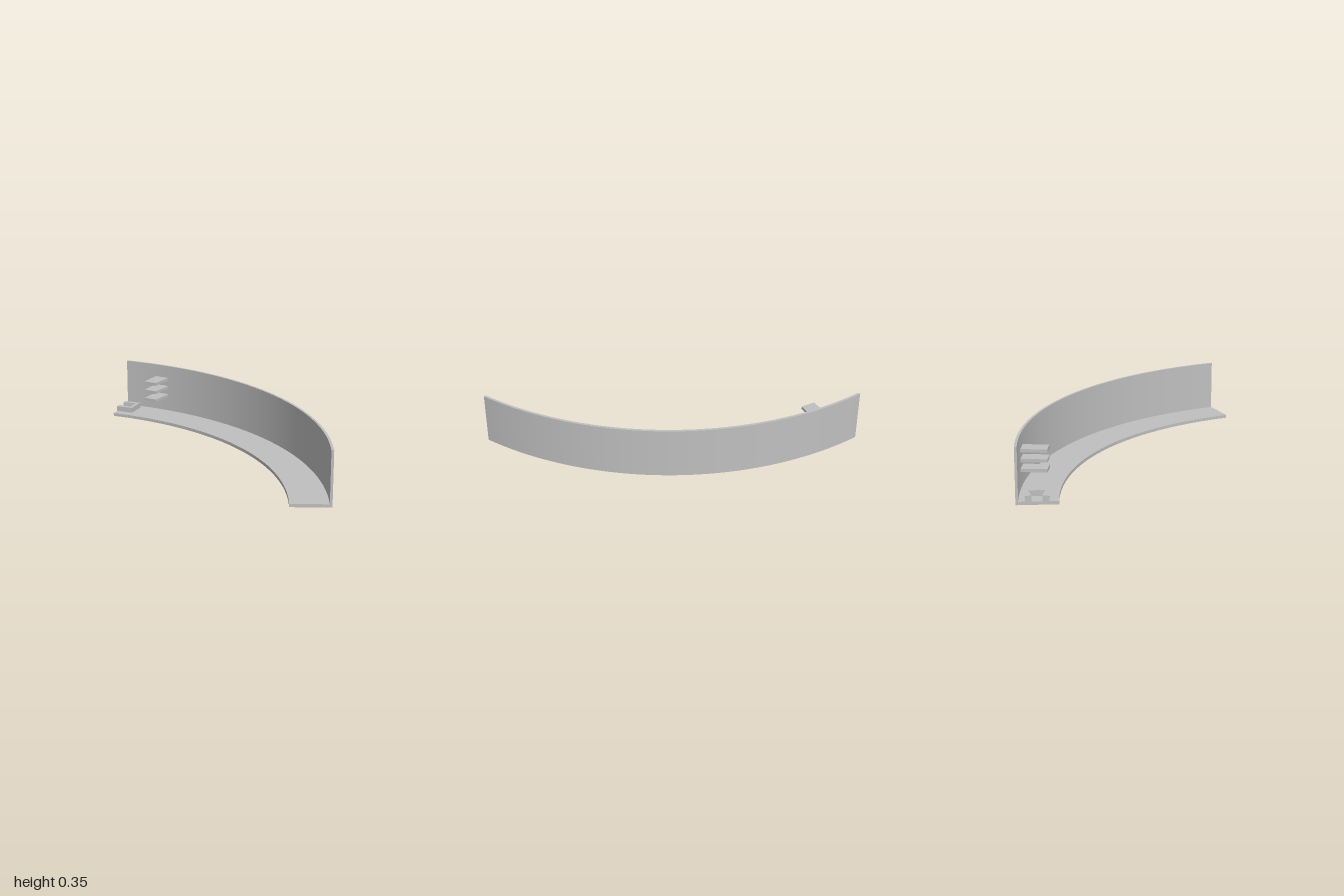
import * as THREE from 'three';
import { toCreasedNormals } from 'three/addons/utils/BufferGeometryUtils.js';

// Arc centre in plan, and the radii measured from it
const CX = -1, CZ = 1.383;
const R_IN = 1.873, R_WALL = 2.112, R_OUT = 2.128;
const FLOOR = 0.021, HEIGHT = 0.355;
const rad = THREE.MathUtils.degToRad;

// Extrude a plan shape (drawn in x, -z) upwards between two heights
function slab(shape, y0, y1, curveSegments = 64) {
  const geo = new THREE.ExtrudeGeometry(shape, { depth: y1 - y0, bevelEnabled: false, curveSegments });
  geo.rotateX(-Math.PI / 2);
  geo.translate(0, y0, 0);
  return toCreasedNormals(geo, rad(30));
}

// Ring sector; angles in degrees, 90 points to the back
function sector(rIn, rOut, a0, a1) {
  const s = new THREE.Shape();
  s.absarc(CX, -CZ, rOut, rad(a0), rad(a1), false);
  s.absarc(CX, -CZ, rIn, rad(a1), rad(a0), true);
  s.closePath();
  return s;
}

export function createModel() {
  const model = new THREE.Group();
  model.name = 'curvedWallSection';
  const grey = new THREE.MeshStandardMaterial({ color: 0xc0c0c0 });
  grey.name = 'light grey';

  function add(name, geo) {
    const mesh = new THREE.Mesh(geo, grey);
    mesh.name = name;
    model.add(mesh);
  }

  // Curved floor and the tall thin wall along its outer edge
  add('floor', slab(sector(R_IN, R_WALL, 20, 90), 0, FLOOR));
  add('outerWall', slab(sector(R_WALL, R_OUT, 20, 90), 0, HEIGHT));

  // Three small shelves stacked on the inside of the wall
  for (let i = 0; i < 3; i++) {
    const y = 0.123 + i * 0.0615;
    add('shelf' + (i + 1), slab(sector(1.95, R_WALL + 0.003, 80.7, 83.5), y, y + 0.021, 4));
  }

  // Connector block with a dovetail slot open at the end
  const block = new THREE.Shape([
    [-1, 0.548], [-0.88, 0.548], [-0.88, 0.69], [-1, 0.69],
    [-1, 0.652], [-0.906, 0.671], [-0.906, 0.572], [-1, 0.588],
  ].map(([x, y]) => new THREE.Vector2(x, y)));
  add('connectorSocket', slab(block, FLOOR, 0.057));

  return model;
}
